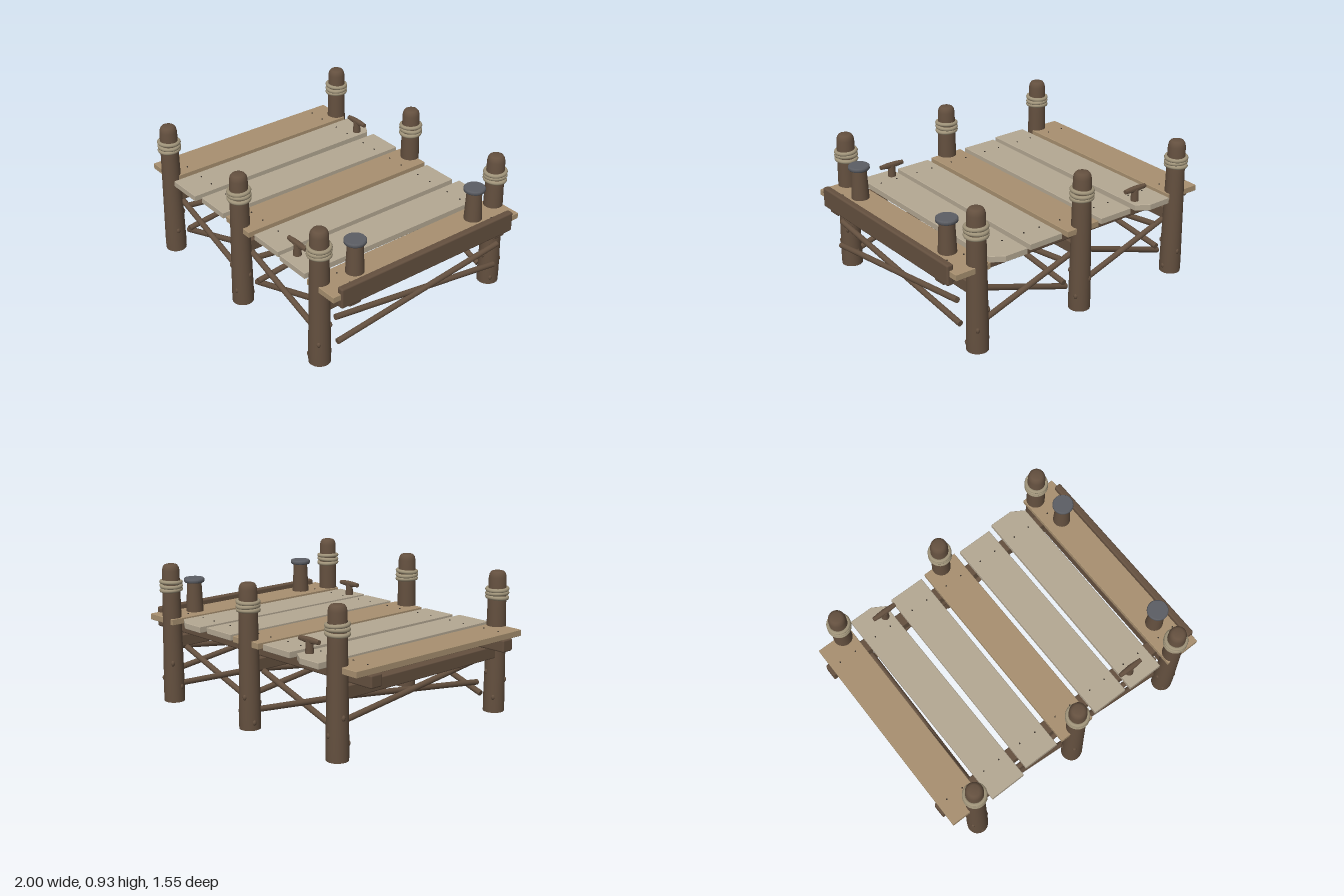
import * as THREE from 'three';
import { RoundedBoxGeometry } from 'three/addons/geometries/RoundedBoxGeometry.js';
import { toCreasedNormals } from 'three/addons/utils/BufferGeometryUtils.js';

const mat = (color) => new THREE.MeshStandardMaterial({ color });
const darkWood = mat(0x64503f);
const tanWood = mat(0xa89070);
const paleWood = mat(0xb4a893);
const ropeMat = mat(0xa0947a);
const iron = mat(0x5c5e64);
const nailMat = mat(0x3a332c);

function add(parent, name, geometry, material, x = 0, y = 0, z = 0) {
  const mesh = new THREE.Mesh(geometry, material);
  mesh.name = name;
  mesh.position.set(x, y, z);
  parent.add(mesh);
  return mesh;
}

// Round pole between two points
function pole(parent, name, a, b, radius) {
  const from = new THREE.Vector3(...a), to = new THREE.Vector3(...b);
  const dir = to.clone().sub(from);
  const mesh = add(parent, name, new THREE.CylinderGeometry(radius, radius, dir.length(), 12), darkWood);
  mesh.position.copy(from).add(to).multiplyScalar(0.5);
  mesh.quaternion.setFromUnitVectors(new THREE.Vector3(0, 1, 0), dir.normalize());
}

function lathe(points, segments = 24) {
  const geometry = new THREE.LatheGeometry(points.map(([r, y]) => new THREE.Vector2(r, y)), segments);
  return toCreasedNormals(geometry, 0.7);
}

function createPost(x, z, index) {
  const post = new THREE.Group();
  post.name = 'post';
  post.position.set(x, 0, z);
  add(post, 'pile', lathe([[0, 0], [0.069, 0], [0.07, 0.08], [0.067, 0.25], [0.064, 0.45], [0.06, 0.7],
    [0.057, 0.89], [0.052, 0.912], [0.042, 0.926], [0.03, 0.93], [0, 0.93]]), darkWood);
  // Weathered knots near the waterline
  for (let i = 0; i < 5; i++) {
    const angle = index * 1.7 + i * 2.4;
    const knot = add(post, 'knot', new THREE.SphereGeometry(0.014, 8, 6), darkWood,
      Math.cos(angle) * 0.063, 0.05 + i * 0.055, Math.sin(angle) * 0.063);
    knot.scale.y = 1.4;
  }
  // Three slightly tilted turns of rope
  for (let i = 0; i < 3; i++) {
    const ring = add(post, 'ropeRing', new THREE.TorusGeometry(0.064, 0.0135, 8, 32), ropeMat, 0, 0.76 + i * 0.026, 0);
    ring.rotation.set(Math.PI / 2 + 0.06 * Math.sin(index + i * 2), 0.06 * Math.cos(index + i * 2), 0);
  }
  return post;
}

// Deck board, optionally with a broken back corner
function createPlank({ x, back, front, yaw, tan, broken }) {
  const group = new THREE.Group();
  group.name = 'plank';
  group.position.x = x;
  group.rotation.y = yaw;
  const w = 0.123, bevel = 0.003;
  const shape = new THREE.Shape();
  shape.moveTo(-w + bevel, -front + bevel);
  shape.lineTo(w - bevel, -front + bevel);
  if (broken) {
    shape.lineTo(w - bevel, -back - 0.055);
    shape.lineTo(w - 0.085, -back - bevel);
  } else {
    shape.lineTo(w - bevel, -back - bevel);
  }
  shape.lineTo(-w + bevel, -back - bevel);
  shape.closePath();
  const geometry = new THREE.ExtrudeGeometry(shape, {
    depth: 0.036, bevelEnabled: true, bevelSize: bevel, bevelThickness: bevel, bevelSegments: 1,
  });
  geometry.rotateX(-Math.PI / 2);
  add(group, 'board', geometry, tan ? tanWood : paleWood, 0, 0.535, 0);
  for (const nx of [-0.06, 0.06]) {
    for (const nz of [-0.57, 0.57]) {
      add(group, 'nail', new THREE.CylinderGeometry(0.005, 0.005, 0.006, 8), nailMat, nx, 0.575, nz);
    }
  }
  return group;
}

function createCleat(x, z) {
  const cleat = new THREE.Group();
  cleat.name = 'cleat';
  cleat.position.set(x, 0.572, z);
  add(cleat, 'cleatStem', new THREE.CylinderGeometry(0.023, 0.027, 0.08, 14), darkWood, 0, 0.04, 0);
  const bar = add(cleat, 'cleatBar', lathe([[0, -0.086], [0.014, -0.086], [0.019, -0.03],
    [0.019, 0.03], [0.014, 0.086], [0, 0.086]], 14), darkWood, 0, 0.081, 0);
  bar.rotation.z = Math.PI / 2;
  return cleat;
}

function createBollard(x, z) {
  const bollard = new THREE.Group();
  bollard.name = 'bollard';
  bollard.position.set(x, 0.572, z);
  add(bollard, 'bollardStem', new THREE.CylinderGeometry(0.048, 0.058, 0.205, 20), darkWood, 0, 0.1025, 0);
  add(bollard, 'bollardCap', lathe([[0, 0.2], [0.064, 0.2], [0.069, 0.206], [0.069, 0.222],
    [0.064, 0.228], [0, 0.228]]), iron);
  return bollard;
}

export function createModel() {
  const dock = new THREE.Group();
  dock.name = 'dock';
  const postX = [-0.8, 0, 0.8];

  postX.forEach((x, i) => {
    for (const s of [-1, 1]) dock.add(createPost(x, s * 0.7, i * 2 + (s > 0 ? 1 : 0)));
    // Cap beam and cross braces joining each pair of posts
    add(dock, 'crossBeam', new RoundedBoxGeometry(0.08, 0.082, 1.32, 2, 0.008), darkWood, x, 0.409, 0);
    pole(dock, 'crossBrace', [x + 0.087, 0.345, 0.65], [x + 0.087, 0.178, -0.65], 0.019);
    pole(dock, 'crossBrace', [x + 0.106, 0.178, 0.65], [x + 0.106, 0.345, -0.65], 0.019);
  });

  for (const s of [-1, 1]) {
    // Long stringers under the deck
    add(dock, 'stringer', new RoundedBoxGeometry(1.985, 0.08, 0.09, 2, 0.01), darkWood, -0.0075, 0.495, s * 0.58);
    // Diagonal braces in each side bay
    for (const cx of [-0.4, 0.4]) {
      pole(dock, 'sideBrace', [cx - 0.36, 0.362, s * 0.645], [cx + 0.36, 0.122, s * 0.645], 0.019);
      pole(dock, 'sideBrace', [cx - 0.36, 0.122, s * 0.615], [cx + 0.36, 0.362, s * 0.615], 0.019);
    }
  }

  // Deck boards
  [
    { x: -0.86, back: -0.72, front: 0.72, yaw: -0.008, tan: true },
    { x: -0.575, back: -0.755, front: 0.74, yaw: 0, broken: true },
    { x: -0.283, back: -0.715, front: 0.715, yaw: -0.008 },
    { x: 0, back: -0.725, front: 0.72, yaw: -0.004, tan: true },
    { x: 0.284, back: -0.712, front: 0.706, yaw: -0.004 },
    { x: 0.568, back: -0.735, front: 0.72, yaw: -0.008, broken: true },
    { x: 0.858, back: -0.745, front: 0.742, yaw: 0.003, tan: true },
  ].forEach((board) => dock.add(createPlank(board)));

  // Bumper board across the end
  add(dock, 'fenderBoard', new RoundedBoxGeometry(0.046, 0.135, 1.37, 3, 0.012), darkWood, 0.972, 0.5425, 0.003);

  dock.add(createCleat(-0.5, -0.645), createCleat(0.5, 0.632));
  dock.add(createBollard(0.846, -0.478), createBollard(0.846, 0.473));
  return dock;
}
